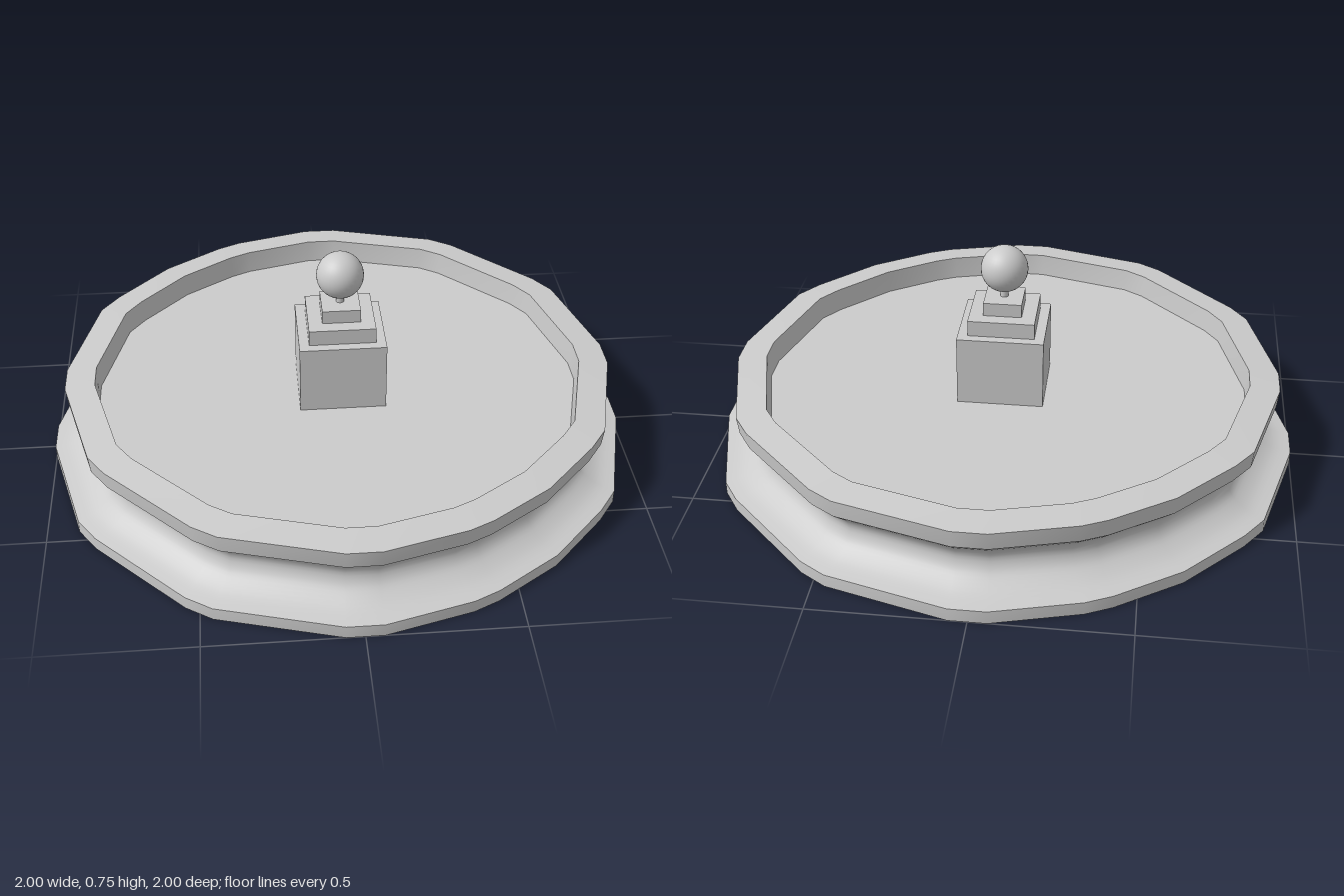
import * as THREE from 'three';
import { toCreasedNormals } from 'three/addons/utils/BufferGeometryUtils.js';

const grey = new THREE.MeshStandardMaterial({ color: 0xcccccc });
const greyThin = new THREE.MeshStandardMaterial({ color: 0xcccccc, side: THREE.DoubleSide });

// Plan outline (x, z): a twelve-sided basin with clipped corners; the second half is the first turned by 180 degrees
const half = [
  [1, 0.06], [0.895, 0.455], [0.83, 0.545], [0.64, 0.745], [0.43, 0.885], [0.345, 0.925], [0.06, 1],
  [-0.06, 1], [-0.46, 0.89], [-0.545, 0.835], [-0.835, 0.545], [-0.895, 0.457], [-1, 0.06],
];
const outline = [...half, ...half.map(([x, z]) => [-x, -z])];
const FLOOR_Y = 0.22, FLOOR_R = 0.83;

// Sweeps a profile of (scale, height) points round the outline
function sweep(profile) {
  const n = outline.length, m = profile.length;
  const positions = [], index = [];
  for (const [x, z] of outline) for (const p of profile) positions.push(x * p.x, p.y, z * p.x);
  for (let i = 0; i < n; i++) {
    for (let j = 0; j < m - 1; j++) {
      const a = i * m + j, c = ((i + 1) % n) * m + j;
      index.push(a, a + 1, c, c, a + 1, c + 1);
    }
  }
  const g = new THREE.BufferGeometry();
  g.setAttribute('position', new THREE.Float32BufferAttribute(positions, 3));
  g.setIndex(index);
  return toCreasedNormals(g, 0.55);
}

function add(parent, name, geometry, material, x = 0, y = 0, z = 0) {
  const mesh = new THREE.Mesh(geometry, material);
  mesh.name = name;
  mesh.position.set(x, y, z);
  parent.add(mesh);
  return mesh;
}

export function createModel() {
  const model = new THREE.Group();
  model.name = 'fountain';

  // Basin shell, open underneath: foot, hollow neck, rim and inner wall
  const neck = new THREE.SplineCurve([
    [1, 0.045], [0.947, 0.056], [0.905, 0.077], [0.877, 0.102], [0.865, 0.138],
    [0.877, 0.172], [0.905, 0.2], [0.935, 0.228],
  ].map(([r, y]) => new THREE.Vector2(r, y))).getPoints(21);
  const profile = [
    new THREE.Vector2(1, 0), ...neck,
    new THREE.Vector2(0.942, 0.29), new THREE.Vector2(0.84, 0.3), new THREE.Vector2(FLOOR_R, FLOOR_Y),
  ];
  add(model, 'basin', sweep(profile), greyThin);

  // Basin floor
  const floor = new THREE.Shape(outline.map(([x, z]) => new THREE.Vector2(x * FLOOR_R, -z * FLOOR_R)));
  add(model, 'basinFloor', new THREE.ShapeGeometry(floor).rotateX(-Math.PI / 2), greyThin, 0, FLOOR_Y);

  // Stepped pedestal: [name, width, depth, bottom, top]
  const pedestal = new THREE.Group();
  pedestal.name = 'pedestal';
  pedestal.position.set(0.005, 0, 0.004);
  model.add(pedestal);
  const tiers = [
    ['pedestalBlock', 0.294, 0.286, 0.175, 0.465],
    ['middleStep', 0.226, 0.222, 0.465, 0.52],
    ['topStep', 0.13, 0.13, 0.52, 0.567],
  ];
  for (const [name, w, d, y0, y1] of tiers) {
    const box = new THREE.BoxGeometry(w, y1 - y0, d);
    // The block is hollow and open below the floor: drop its bottom face
    if (name === 'pedestalBlock') {
      const idx = Array.from(box.index.array);
      idx.splice(18, 6);
      box.setIndex(idx);
    }
    add(pedestal, name, box, greyThin, 0, (y0 + y1) / 2, 0);
  }

  // Ball on a short stem
  add(pedestal, 'stem', new THREE.CylinderGeometry(0.014, 0.014, 0.06, 16), grey, 0, 0.59, 0);
  add(pedestal, 'ball', new THREE.SphereGeometry(0.08, 32, 20), grey, 0, 0.67, 0);

  return model;
}
